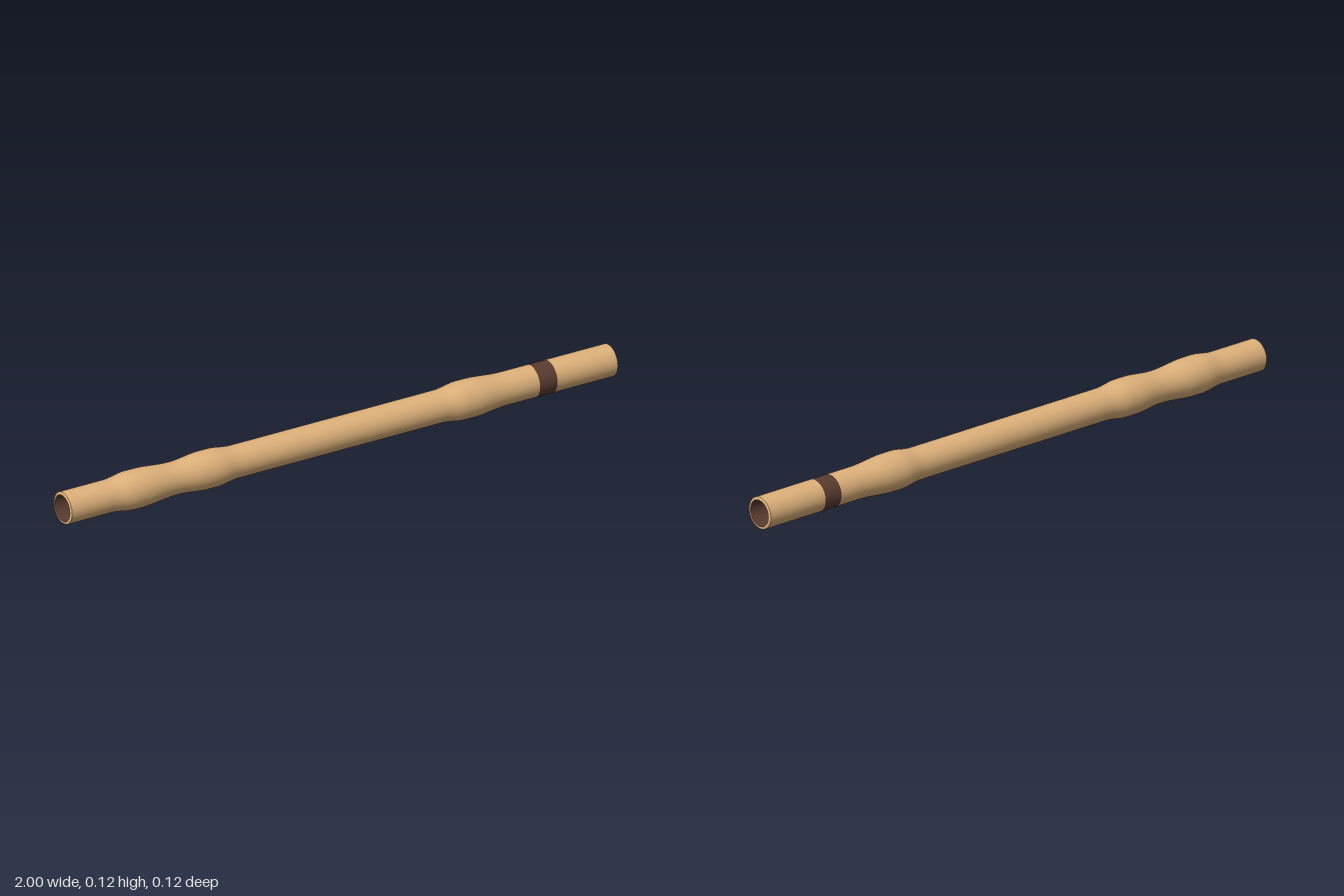
import * as THREE from 'three';

const AXIS_Y = 0.062;
const BASE_R = 0.0525;
const SEGMENTS = 64;

// Swollen nodes along the cane: centre, swell, left reach, right reach
const NODES = [
  [-0.74, 0.0095, 0.10, 0.15],
  [-0.47, 0.009, 0.13, 0.10],
  [0.47, 0.0095, 0.10, 0.15],
];

// Outer radius of the cane at a position along its length
function outerRadius(x) {
  let r = BASE_R;
  for (const [centre, swell, left, right] of NODES) {
    const d = x - centre;
    const flat = 0.02;
    const t = Math.max(0, Math.abs(d) - flat) / ((d < 0 ? left : right) - flat);
    if (t < 1) r += swell * (0.5 + 0.5 * Math.cos(Math.PI * t)) * (1 - 0.3 * t);
  }
  return r;
}

export function createModel() {
  const cane = new THREE.MeshStandardMaterial({ color: 0xdeb17a });
  cane.name = 'cane tan';
  const dark = new THREE.MeshStandardMaterial({ color: 0x5a3c30 });
  dark.name = 'dark brown';

  const group = new THREE.Group();
  group.name = 'bambooPipe';

  // Revolves [x, radius] points around the long axis
  function revolve(name, points, material) {
    const profile = points.map(([x, r]) => new THREE.Vector2(r, x));
    const mesh = new THREE.Mesh(new THREE.LatheGeometry(profile, SEGMENTS), material);
    mesh.name = name;
    mesh.rotation.z = -Math.PI / 2;
    mesh.position.y = AXIS_Y;
    group.add(mesh);
  }

  function wall(name, x0, x1, material) {
    const steps = Math.max(2, Math.ceil((x1 - x0) / 0.015));
    const points = [];
    for (let i = 0; i <= steps; i++) {
      const x = x0 + ((x1 - x0) * i) / steps;
      points.push([x, outerRadius(x)]);
    }
    revolve(name, points, material);
  }

  // Outer wall, interrupted by the flush dark band
  wall('mainTube', -0.997, 0.713, cane);
  wall('darkBand', 0.713, 0.777, dark);
  wall('endTube', 0.777, 0.997, cane);

  // Rims with a tiny bevel
  const rim = [[0.997, BASE_R], [1, 0.05], [1, 0.043]];
  revolve('leftRim', rim, cane);
  revolve('rightRim', rim.map(([x, r]) => [-x, r]).reverse(), cane);

  // Hollow bore, narrowing away from the ends
  revolve('bore', [[1, 0.043], [0.8, 0.041], [0.5, 0.036], [-0.5, 0.036], [-0.8, 0.041], [-1, 0.043]], dark);

  // Dark oval wrapped on the underside of the end node
  const oval = new THREE.RingGeometry(0.001, 1, 40, 8);
  const pos = oval.attributes.position;
  for (let i = 0; i < pos.count; i++) {
    const x = -0.74 + 0.045 * pos.getX(i);
    const angle = 0.72 * pos.getY(i);
    const r = outerRadius(x) + 0.0006;
    pos.setXYZ(i, x, AXIS_Y - r * Math.cos(angle), r * Math.sin(angle));
  }
  oval.computeVertexNormals();
  const patch = new THREE.Mesh(oval, dark);
  patch.name = 'undersideOval';
  group.add(patch);

  return group;
}
